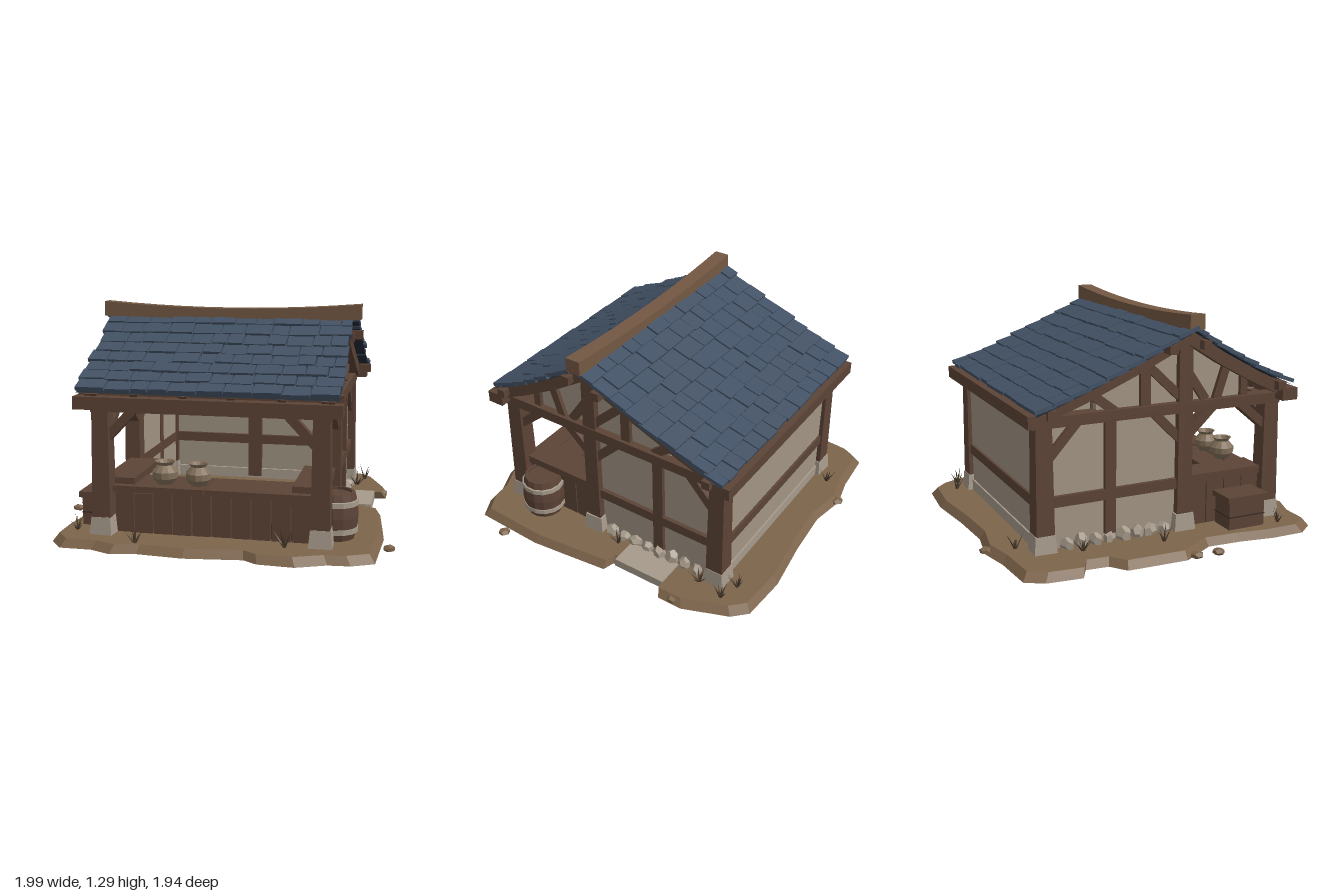
import * as THREE from 'three';
import { mergeGeometries } from 'three/addons/utils/BufferGeometryUtils.js';

const material = (name, color, double) => {
  const m = new THREE.MeshStandardMaterial({ color, flatShading: true });
  m.name = name;
  if (double) m.side = THREE.DoubleSide;
  return m;
};

export function createModel() {
  const root = new THREE.Group();
  root.name = 'marketStall';
  const wood = material('brown timber', 0x5c4336);
  const paleWood = material('worn timber', 0x735842);
  const darkWood = material('dark timber', 0x3a2a23);
  const slate = material('blue slate', 0x425164);
  const darkSlate = material('dark slate', 0x222b36, true);
  const plaster = material('plaster', 0xa19483);
  const stone = material('grey stone', 0xa69a8b);
  const earth = material('packed earth', 0x7d644b);
  const clay = material('clay', 0x83705a, true);
  const grass = material('dry grass', 0x4a3c2c, true);

  let seed = 7;
  const rnd = (a = 0, b = 1) => {
    seed = (seed * 16807) % 2147483647;
    return a + (b - a) * (seed / 2147483647);
  };
  const V = (x, y, z) => new THREE.Vector3(x, y, z);
  const add = (name, geo, mat) => {
    const mesh = new THREE.Mesh(geo, mat);
    mesh.name = name;
    root.add(mesh);
    return mesh;
  };
  const box = (name, x0, x1, y0, y1, z0, z1, mat) =>
    add(name, new THREE.BoxGeometry(x1 - x0, y1 - y0, z1 - z0)
      .translate((x0 + x1) / 2, (y0 + y1) / 2, (z0 + z1) / 2), mat);
  // Straight timber between two points, w along x and d across
  const beam = (name, a, b, w, d, mat = wood) => {
    const mesh = add(name, new THREE.BoxGeometry(w, a.distanceTo(b), d), mat);
    mesh.position.copy(a).lerp(b, 0.5);
    mesh.quaternion.setFromUnitVectors(V(0, 1, 0), b.clone().sub(a).normalize());
    return mesh;
  };

  // Ragged ground slab with a sloping rim
  const outline = [[-0.86, -0.9], [-0.6, -0.92], [-0.42, -0.96], [-0.2, -0.92], [0.1, -0.94], [0.42, -0.98],
    [0.7, -0.96], [0.78, -0.88], [0.88, -0.62], [0.88, -0.47], [0.8, -0.46], [0.8, -0.1], [0.87, -0.08],
    [0.9, 0.2], [0.92, 0.4], [0.9, 0.82], [0.78, 0.88], [0.66, 0.89], [0.5, 0.96], [0.3, 0.95], [0.22, 0.9],
    [-0.1, 0.94], [-0.36, 0.92], [-0.5, 0.95], [-0.62, 0.9], [-0.8, 0.9], [-0.88, 0.8], [-0.88, 0.6],
    [-0.85, 0.4], [-0.84, 0.2], [-0.96, 0], [-0.95, -0.35], [-0.86, -0.42], [-0.85, -0.55], [-0.94, -0.6], [-0.92, -0.8]];
  const ground = new THREE.ExtrudeGeometry(new THREE.Shape(outline.map(p => new THREE.Vector2(...p))),
    { depth: 0.045, bevelEnabled: false }).rotateX(Math.PI / 2).translate(0, 0.045, 0);
  const gp = ground.attributes.position;
  for (let i = 0; i < gp.count; i++) {
    if (gp.getY(i) > 0.02) gp.setXYZ(i, gp.getX(i) * 0.965, 0.045, gp.getZ(i) * 0.965);
  }
  ground.computeVertexNormals();
  add('ground', ground, earth);

  const rock = (name, x, y, z, sx, sy, sz, mat = stone) => {
    const mesh = add(name, new THREE.DodecahedronGeometry(1, 0), mat);
    mesh.position.set(x, y, z);
    mesh.scale.set(sx, sy, sz);
    mesh.rotation.y = rnd(0, 3);
  };
  [[-0.95, 0.06, 0.04], [-0.96, 0.19, 0.035], [0.96, 0.6, 0.035], [-0.41, -0.95, 0.04], [0.85, -0.55, 0.04]]
    .forEach(([x, z, r]) => rock('groundChip', x, 0.018, z, r, 0.02, r, earth));
  box('doorStep', 0.64, 0.81, 0.002, 0.053, -0.45, -0.12, stone);

  // Plaster walls
  const sideShape = new THREE.Shape([[0.55, 0.76], [0.55, 0.95], [0.15, 1.17], [-0.38, 0.93], [-0.38, 0.76],
    [-0.7, 0.76], [-0.7, 0.04], [0.15, 0.04], [0.15, 0.76]].map(p => new THREE.Vector2(...p)));
  for (const s of [-1, 1]) {
    add('sideWall', new THREE.ExtrudeGeometry(sideShape, { depth: 0.04, bevelEnabled: false })
      .rotateY(-Math.PI / 2).translate(s * 0.59 + 0.02, 0, 0), plaster);
  }
  box('backWall', -0.6, 0.6, 0.04, 0.82, -0.72, -0.68, plaster);

  // Roof slopes: ridge-to-eave curve, row count, x range
  const slopes = [
    { name: 'frontRoof', ctrl: [1.0, 0.46], end: [0.85, 0.8], x0: -0.73, x1: 0.71, rows: 8 },
    { name: 'backRoof', ctrl: [0.975, -0.34], end: [0.83, -0.77], x0: -0.76, x1: 0.74, rows: 9 }];
  for (const r of slopes) {
    const curve = new THREE.QuadraticBezierCurve3(V(0, 1.21, 0.15), V(0, ...r.ctrl), V(0, ...r.end));
    const tiles = [];
    const deck = new THREE.PlaneGeometry(r.x1 - r.x0 - 0.02, 1, 1, 12);
    const dp = deck.attributes.position;
    for (let i = 0; i < dp.count; i++) {
      const p = curve.getPoint(0.5 - dp.getY(i));
      dp.setXYZ(i, dp.getX(i) + (r.x0 + r.x1) / 2, p.y - 0.008, p.z);
    }
    deck.computeVertexNormals();
    add(r.name + 'Deck', deck, darkSlate);
    for (let i = 0; i < r.rows; i++) {
      const a = curve.getPoint(i / r.rows), b = curve.getPoint((i + 1) / r.rows);
      const tilt = Math.sign(b.z - a.z) * 0.09;
      const angle = Math.atan2(a.y - b.y, b.z - a.z) - tilt;
      for (let x = r.x0 + rnd(-0.01, 0.01); x < r.x1 - 0.02;) {
        let w = rnd(0.09, 0.17);
        if (x + w > r.x1 - 0.06) w = r.x1 - x + rnd(-0.012, 0.008);
        tiles.push(new THREE.BoxGeometry(w - 0.007, 0.022, a.distanceTo(b) * rnd(1.04, 1.2))
          .rotateY(rnd(-0.025, 0.025)).rotateX(angle)
          .translate(x + w / 2, (a.y + b.y) / 2 + rnd(0.006, 0.014), (a.z + b.z) / 2));
        x += w;
      }
    }
    add(r.name + 'Tiles', mergeGeometries(tiles), slate);
    // Rafters below the slope, stout ones at the gables
    for (const x of [-0.64, -0.4, -0.13, 0.13, 0.4, 0.64]) {
      const thick = Math.abs(x) > 0.6 ? 0.07 : 0.045;
      for (let k = 0; k < 3; k++) {
        const a = curve.getPoint(k / 3), b = curve.getPoint((k + 1) / 3 - (k === 2 ? 0.03 : 0));
        a.set(x, a.y - 0.02 - thick / 2, a.z);
        b.set(x, b.y - 0.02 - thick / 2, b.z);
        beam('rafter', a, b, thick, thick);
      }
    }
    // Purlins poking out at the gables
    for (const t of [0.14, 0.9]) {
      const p = curve.getPoint(t);
      box('purlin', r.x0 + 0.01, r.x1 + 0.01, p.y - 0.065, p.y - 0.015, p.z - 0.025, p.z + 0.025, wood);
    }
  }

  // Sagging ridge beam
  const ridge = new THREE.BoxGeometry(1.51, 0.085, 0.09, 10, 1, 1);
  const rp = ridge.attributes.position;
  for (let i = 0; i < rp.count; i++) {
    rp.setY(i, rp.getY(i) + 1.216 + 0.033 * (rp.getX(i) / 0.755) ** 2);
  }
  ridge.computeVertexNormals();
  add('ridgeBeam', ridge.translate(-0.005, 0, 0.147), paleWood);

  // Wall plates along the eaves
  box('frontPlate', -0.73, 0.72, 0.755, 0.825, 0.73, 0.83, wood);
  box('backPlate', -0.73, 0.72, 0.755, 0.825, -0.81, -0.7, wood);
  box('frontLintel', -0.6, 0.6, 0.73, 0.77, 0.68, 0.74, wood);
  box('backRail', -0.58, 0.58, 0.285, 0.345, -0.735, -0.655, wood);
  box('backInnerPost', -0.06, 0.03, 0.06, 0.78, -0.69, -0.65, wood);
  box('backInnerPlate', -0.58, 0.58, 0.73, 0.79, -0.69, -0.64, wood);

  // Timber frame of each side
  for (const s of [-1, 1]) {
    const side = (name, z0, y0, z1, y1, w = 0.05, x = 0.6) =>
      beam(name, V(s * x, y0, z0), V(s * x, y1, z1), 0.07, w);
    for (const [z, top, w] of [[0.71, 0.77, 0.095], [0.147, 1.2, 0.085], [-0.695, 0.78, 0.095]]) {
      const post = new THREE.CylinderGeometry(w * 0.68, w * 0.78, top - 0.1, 4, 1).rotateY(Math.PI / 4);
      add('post', post.translate(s * 0.605, (top + 0.1) / 2, z), wood);
      const foot = new THREE.CylinderGeometry(0.078, 0.092, 0.105, 4).rotateY(Math.PI / 4 + rnd(-0.08, 0.08));
      add('postFootStone', foot.translate(s * 0.605, 0.09, z), stone);
    }
    box('sideTieBeam', s * 0.61 - 0.045, s * 0.61 + 0.045, 0.73, 0.79, -0.76, 0.76, wood);
    side('wallRail', 0.13, 0.32, -0.68, 0.315, 0.06);
    side('wallStud', -0.305, 0.09, -0.305, 0.74, 0.065);
    side('brace', 0.13, 0.57, -0.05, 0.75);
    side('brace', -0.67, 0.55, -0.49, 0.75);
    side('brace', 0.69, 0.59, 0.5, 0.75);
    side('brace', 0.17, 0.59, 0.34, 0.75);
    side('gableStrut', -0.095, 0.78, -0.095, 1.05, 0.06);
    side('gableStrut', 0.12, 0.82, -0.06, 0.99);
    side('gableStrut', -0.28, 0.78, -0.45, 0.91);
    side('gableStrut', 0.53, 0.78, 0.53, 0.95, 0.045);
    side('gableStrut', 0.35, 0.78, 0.42, 0.99);
    side('gableStrut', 0.17, 0.95, 0.28, 0.79);
    for (const z of [0.71, -0.65]) beam('frontBrace', V(s * 0.57, 0.59, z), V(s * 0.41, 0.76, z), 0.05, 0.05);
    // Low side counter between front and middle posts
    box('sideCounterTop', s * 0.53 - 0.09, s * 0.53 + 0.09, 0.305, 0.35, 0.18, 0.67, wood);
    for (let i = 0; i < 4; i++) {
      const z = 0.2 + i * 0.117;
      box('sideCounterPlank', s * 0.59 - 0.015, s * 0.59 + 0.015, 0.045, 0.305, z, z + 0.111, wood);
    }
    box('sideCounterCore', s * 0.57 - 0.01, s * 0.57 + 0.01, 0.045, 0.3, 0.2, 0.67, darkWood);
    // Rubble footing along the side walls
    for (let z = 0.03; z > -0.62; z -= 0.085) {
      rock('footingStone', s * 0.625, 0.065, z, rnd(0.03, 0.045), rnd(0.03, 0.065), rnd(0.035, 0.055));
    }
  }
  box('backFooting', -0.55, 0.55, 0.04, 0.11, -0.73, -0.66, stone);

  // Front counter with uneven planks
  box('counterCore', -0.55, 0.55, 0.045, 0.28, 0.64, 0.66, darkWood);
  for (let i = 0, x = -0.55; i < 10; i++, x += 0.11) {
    box('counterPlank', x + 0.003, x + 0.107, 0.045, 0.275 + rnd(-0.006, 0.006), 0.655, 0.685 + rnd(0, 0.008), wood);
  }
  for (const [x0, x1] of [[-0.56, -0.04], [-0.035, 0.56]]) {
    box('counterTop', x0, x1, 0.28, 0.315, 0.6, 0.715, wood);
    box('counterTop', x0, x1, 0.28, 0.312, 0.43, 0.596, wood);
  }

  // Clay pots
  const potProfile = [[0, 0], [0.04, 0], [0.072, 0.04], [0.074, 0.075], [0.042, 0.112], [0.058, 0.132], [0.048, 0.13], [0.034, 0.108]];
  for (const [x, h] of [[-0.28, 1], [-0.09, 0.97]]) {
    const pot = add('clayPot', new THREE.LatheGeometry(potProfile.map(p => new THREE.Vector2(...p)), 12), clay);
    pot.position.set(x, 0.312, 0.61);
    pot.scale.set(h, h, h);
  }

  // Barrel
  const barrelRadius = y => 0.128 - 0.022 * ((y - 0.13) / 0.13) ** 2;
  const lathe = (name, pts, mat) => {
    const mesh = add(name, new THREE.LatheGeometry(pts.map(p => new THREE.Vector2(...p)), 14), mat);
    mesh.position.set(0.66, 0.042, 0.525);
  };
  lathe('barrel', [[0, 0], ...[0, 0.06, 0.13, 0.2, 0.26].map(y => [barrelRadius(y), y]), [0.09, 0.26], [0.09, 0.245], [0, 0.245]], wood);
  for (const y of [0.055, 0.205]) {
    const r0 = barrelRadius(y) - 0.004, r1 = barrelRadius(y) + 0.006;
    lathe('barrelHoop', [[r0, y - 0.016], [r1, y - 0.014], [r1, y + 0.014], [r0, y + 0.016]], stone);
  }

  // Crate
  box('crate', -0.775, -0.62, 0.04, 0.205, 0.37, 0.6, wood);
  box('crateLid', -0.79, -0.61, 0.207, 0.24, 0.355, 0.615, wood);
  box('crateSeam', -0.778, -0.617, 0.115, 0.122, 0.367, 0.603, darkWood);

  // Grass tufts
  const tufts = [[-0.77, 0.7], [-0.76, -0.04], [-0.52, -0.82], [0.6, -0.82], [-0.38, 0.87], [0.42, 0.78],
    [0.68, -0.05], [0.68, -0.62], [-0.7, -0.5], [0.72, -0.78]];
  for (const [x, z] of tufts) {
    const blades = [];
    for (let i = 0; i < 9; i++) {
      const h = rnd(0.05, 0.12);
      blades.push(new THREE.ConeGeometry(0.007, h, 3).translate(0, h / 2, 0)
        .rotateZ(rnd(0.1, 0.75)).rotateY(i * 0.7 + rnd(0, 0.4)).translate(x, 0.04, z));
    }
    add('grassTuft', mergeGeometries(blades), grass);
  }
  return root;
}
